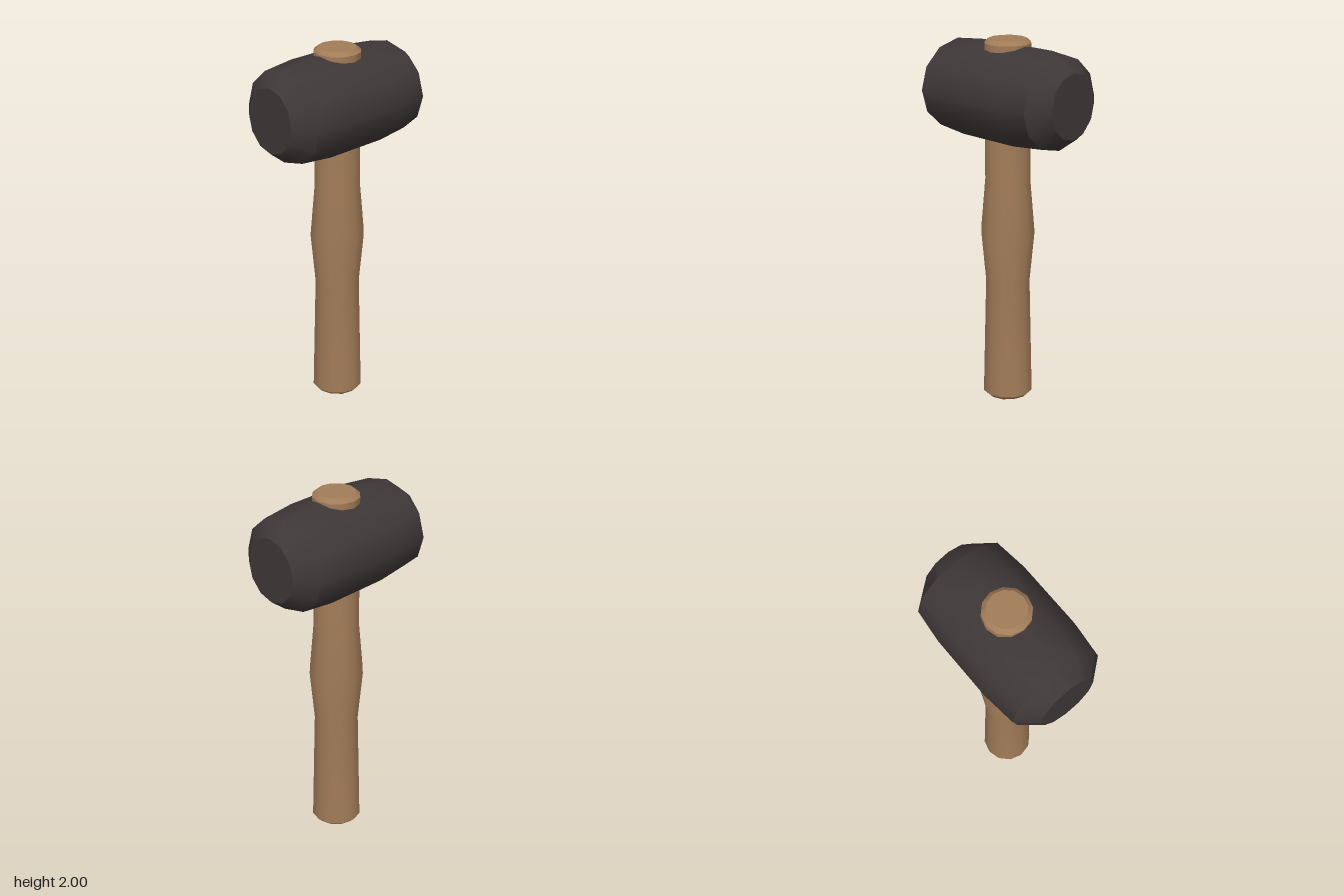
import * as THREE from 'three';
import { toCreasedNormals } from 'three/addons/utils/BufferGeometryUtils.js';

const SIDES = 12;
const CREASE = 0.62;

const lathe = (profile) =>
  new THREE.LatheGeometry(profile.map(([r, y]) => new THREE.Vector2(r, y)), SIDES);

function makeMesh(name, geometry, material) {
  const mesh = new THREE.Mesh(toCreasedNormals(geometry, CREASE), material);
  mesh.name = name;
  return mesh;
}

// Barrel-shaped head lying along x, slightly flattened in height
function headGeometry() {
  const half = [[0.287, 0.18], [0.267, 0.365], [0.16, 0.455], [0, 0.455]];
  const mirrored = half.map(([r, y]) => [r, -y]).reverse();
  const geometry = lathe([...mirrored, ...half]);
  const pos = geometry.attributes.position;
  for (let i = 0; i < pos.count; i++) {
    // The striking faces are a touch taller than wide, the body wider than tall
    const onFace = Math.abs(pos.getY(i)) > 0.45;
    pos.setX(i, pos.getX(i) * (onFace ? 1.08 : 0.908));
  }
  return geometry.rotateZ(Math.PI / 2);
}

export function createModel() {
  const wood = new THREE.MeshStandardMaterial({ color: 0xa27c58 });
  wood.name = 'wood';
  const rubber = new THREE.MeshStandardMaterial({ color: 0x3e3737 });
  rubber.name = 'black rubber';

  const model = new THREE.Group();
  model.name = 'mallet';

  const head = makeMesh('head', headGeometry(), rubber);
  head.position.y = 1.713;
  model.add(head);

  // Handle with a swollen grip, running through the head and out of the top
  const handle = makeMesh('handle', lathe([
    [0, 0], [0.118, 0], [0.138, 0.02], [0.122, 0.68], [0.148, 0.96],
    [0.124, 1.24], [0.124, 1.98], [0.101, 2], [0, 2],
  ]), wood);
  handle.position.x = 0.004;
  model.add(handle);

  return model;
}
